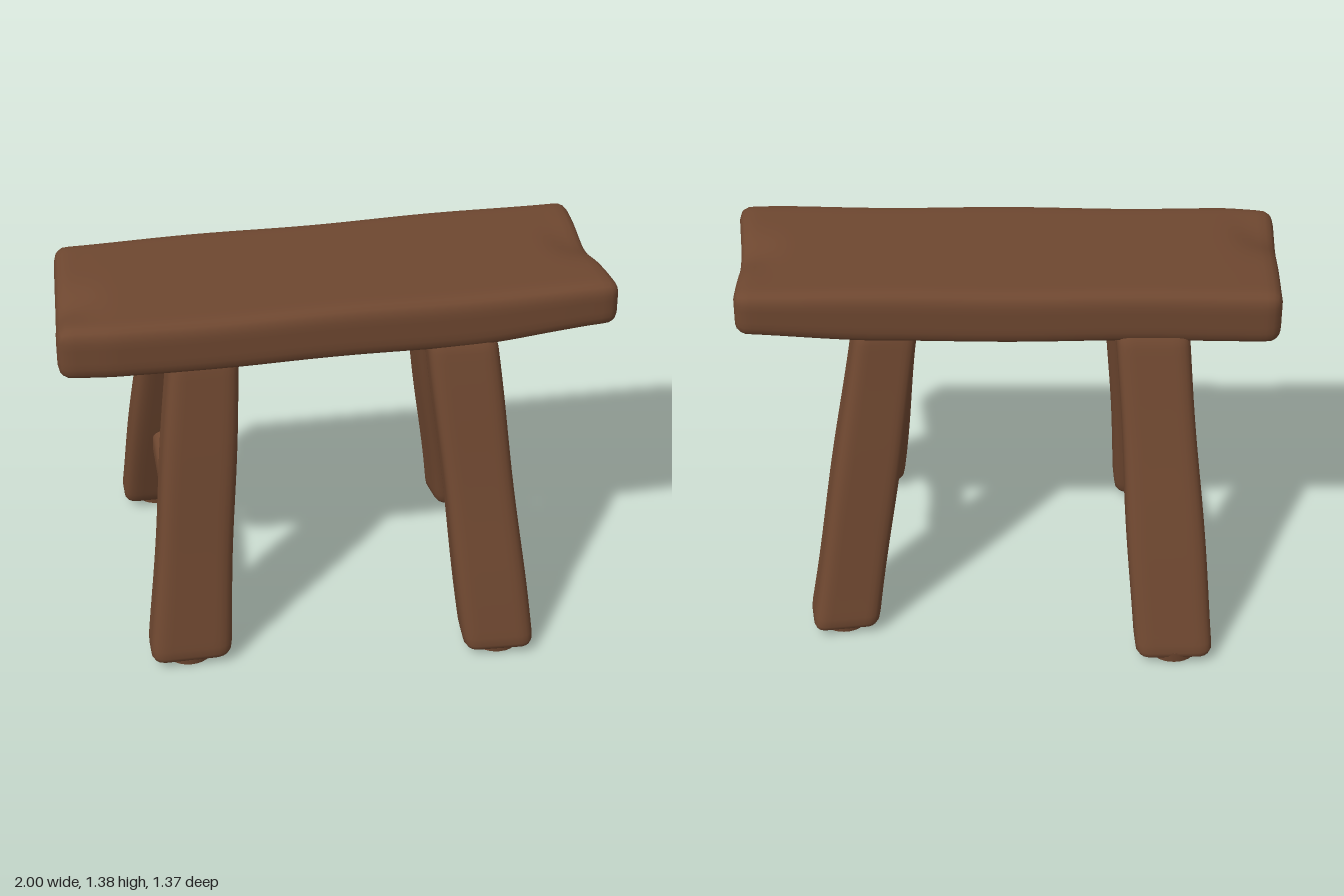
import * as THREE from 'three';
import { mergeVertices } from 'three/addons/utils/BufferGeometryUtils.js';

const lerp = THREE.MathUtils.lerp;
const smooth = THREE.MathUtils.smoothstep;

// Finely divided box with rounded edges, every vertex then moved by warp(p)
function softBox(w, h, d, r, segs, warp) {
  const geo = new THREE.BoxGeometry(w, h, d, ...segs);
  geo.deleteAttribute('uv');
  geo.deleteAttribute('normal');
  const pos = geo.attributes.position;
  const inner = new THREE.Vector3(w / 2 - r, h / 2 - r, d / 2 - r);
  const outer = inner.clone().negate();
  const p = new THREE.Vector3();
  const core = new THREE.Vector3();
  for (let i = 0; i < pos.count; i++) {
    p.fromBufferAttribute(pos, i);
    core.copy(p).clamp(outer, inner);
    p.sub(core).setLength(r).add(core);
    warp(p);
    pos.setXYZ(i, p.x, p.y, p.z);
  }
  const merged = mergeVertices(geo, 1e-5);
  merged.computeVertexNormals();
  return merged;
}

export function createModel() {
  const wood = new THREE.MeshStandardMaterial({ color: 0x6e4730 });
  wood.name = 'brown wood';
  const grey = new THREE.MeshStandardMaterial({ color: 0x9c9a98 });
  grey.name = 'grey pad';

  const model = new THREE.Group();
  model.name = 'bench';
  function add(name, geo, mat, parent = model) {
    const mesh = new THREE.Mesh(geo, mat);
    mesh.name = name;
    parent.add(mesh);
    return mesh;
  }

  // Seat: a thick plank, slightly tilted, thinner at +x, with worn ends
  add('seat', softBox(2, 0.2, 0.7, 0.05, [60, 8, 24], (p) => {
    const t = (p.x + 1) / 2;
    const v = (p.y + 0.1) / 0.2;
    const s = p.z / 0.35;
    const bottom = lerp(1.15, 1.17, t) + 0.035 * smooth(p.x, 0.45, 1);
    const top = lerp(1.352, 1.376, t);
    const end = smooth(Math.abs(p.x), 0.78, 1);
    const middle = p.x < 0 ? 0.12 : -0.02;
    const dent = 0.035 * end * Math.exp(-(((p.z - middle) / 0.12) ** 2));
    p.y = lerp(bottom, top, v) - dent * v + 0.003 * Math.sin(p.x * 7 + p.z * 5);
    p.z = lerp(lerp(-0.322, -0.305, t), lerp(0.382, 0.412, t), (s + 1) / 2);
    p.z += (p.x < 0 ? -0.02 : -0.006) * end * Math.max(s, 0);
    p.x += p.x < 0 ? end * 0.022 * (1 - s) : end * (0.01 * (s - 1) - 0.005 - 0.008 * Math.cos(s * 3));
  }), wood);

  // Legs: foot and head give [x, z, width, depth] at the two ends
  const footY = 0.018, headY = 1.21;
  function addLeg(name, foot, head, yaw, seed) {
    const leg = new THREE.Group();
    leg.name = name;
    model.add(leg);
    const c = Math.cos(yaw), s = Math.sin(yaw);
    add(name + 'Post', softBox(0.25, 1.2, 0.18, 0.045, [12, 40, 10], (p) => {
      const t = (p.y + 0.6) / 1.2;
      const wobble = 1 + 0.02 * Math.sin(t * 9 + seed);
      const u = (p.x / 0.25) * lerp(foot[2], head[2], t) * wobble;
      const w = (p.z / 0.18) * lerp(foot[3], head[3], t) * wobble;
      p.set(
        lerp(foot[0], head[0], t) + u * c + w * s,
        lerp(footY, headY, t),
        lerp(foot[1], head[1], t) - u * s + w * c
      );
    }), wood, leg);
    // Wooden rim with a grey pad under the foot
    const rim = add(name + 'Rim', new THREE.CylinderGeometry(0.085, 0.078, 0.045, 24), wood, leg);
    rim.position.set(foot[0], 0.0285, foot[1]);
    const pad = add(name + 'Pad', new THREE.CylinderGeometry(0.07, 0.066, 0.02, 24), grey, leg);
    pad.position.set(foot[0], 0.01, foot[1]);
    rim.scale.z = pad.scale.z = 0.85;
  }
  addLeg('frontLeftLeg', [0.55, 0.6, 0.26, 0.19], [0.44, 0.295, 0.25, 0.18], -0.06, 0);
  addLeg('frontRightLeg', [-0.592, 0.475, 0.295, 0.17], [-0.483, 0.275, 0.25, 0.17], 0, 1.5);
  addLeg('backLeftLeg', [0.637, -0.39, 0.25, 0.19], [0.45, -0.18, 0.23, 0.17], 0.12, 3);
  addLeg('backRightLeg', [-0.588, -0.605, 0.29, 0.17], [-0.5, -0.22, 0.26, 0.18], 0, 4.5);

  // Stretchers: front and back give [x, y, z] of the ends, sunk into the legs
  function addStretcher(name, front, back, height, bow) {
    add(name, softBox(0.1, 0.15, 1, 0.045, [8, 10, 30], (p) => {
      const t = 0.5 - p.z;
      p.set(
        lerp(front[0], back[0], t) + p.x,
        lerp(front[1], back[1], t) + bow * Math.sin(t * Math.PI) + (p.y / 0.15) * height,
        lerp(front[2], back[2], t)
      );
    }), wood);
  }
  addStretcher('leftStretcher', [0.5, 0.513, 0.46], [0.55, 0.56, -0.3], 0.155, 0);
  addStretcher('rightStretcher', [-0.575, 0.275, 0.42], [-0.565, 0.395, -0.47], 0.14, 0.015);

  return model;
}
